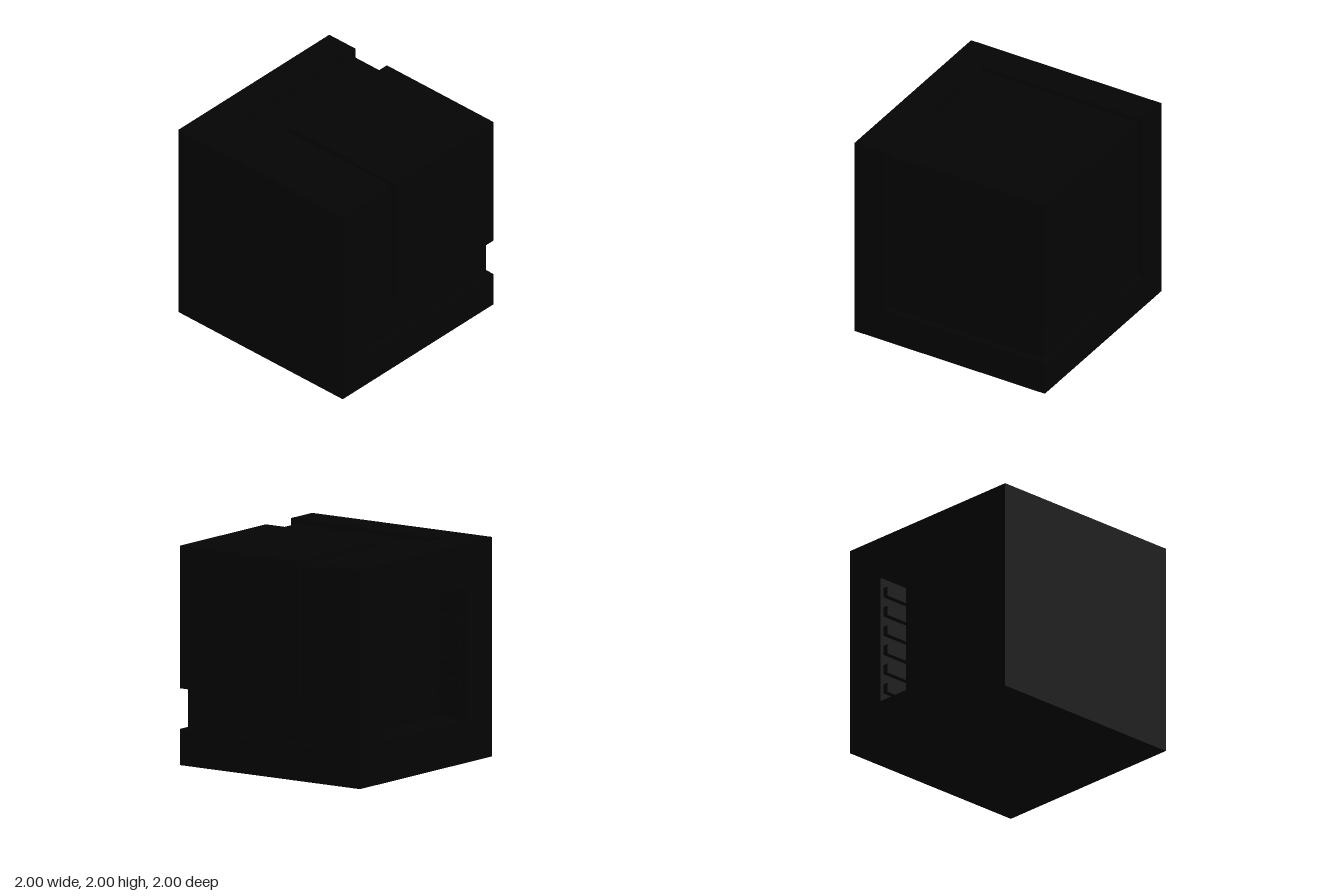
import * as THREE from 'three';

export function createModel() {
  const group = new THREE.Group();
  group.name = 'ventedCube';
  const mat = new THREE.MeshStandardMaterial({ color: 0x040404 });

  // Box given by its minimum and maximum corners
  const box = (name, a, b, parent = group) => {
    const geo = new THREE.BoxGeometry(b[0] - a[0], b[1] - a[1], b[2] - a[2]);
    const mesh = new THREE.Mesh(geo, mat);
    mesh.name = name;
    mesh.position.set((a[0] + b[0]) / 2, (a[1] + b[1]) / 2, (a[2] + b[2]) / 2);
    parent.add(mesh);
    return mesh;
  };

  const wall = -0.68;   // inner side of the outer shell
  const floor = 0.33;   // top of the floor slab
  const step = 0.95;    // surface of the sunken band
  const vent = 0.61;    // half width of the rear opening
  const ventY = 0.995;  // centre height of the rear opening

  // Outer shell: side wall and floor
  box('sideWall', [-1, 0, wall], [wall, 2, 1]);
  box('floorSlab', [wall, 0, wall], [1, floor, 1]);

  // Back wall with a square opening
  const shape = new THREE.Shape([[-1, 0], [1, 0], [1, 2], [-1, 2]].map(p => new THREE.Vector2(...p)));
  shape.holes.push(new THREE.Path([[-1, -1], [-1, 1], [1, 1], [1, -1]].map(
    ([x, y]) => new THREE.Vector2(x * vent, ventY + y * vent))));
  const back = new THREE.Mesh(
    new THREE.ExtrudeGeometry(shape, { depth: 1 + wall, bevelEnabled: false }), mat);
  back.name = 'backWall';
  back.position.z = -1;
  group.add(back);

  // Sunken band around the corner block; also closes the rear opening
  box('sunkenBand', [wall, floor, wall], [step, 2 - (1 - step), step]);

  // Corner block, flush with the outer faces
  box('cornerBlock', [-0.3, 0.7, -0.3], [1, 2, 1]);

  // U-shaped ribs lining the rear opening
  const ribs = new THREE.Group();
  ribs.name = 'ventRibs';
  group.add(ribs);
  const t = 0.045, out = 0.05, front = -0.96;
  for (let i = 0; i < 6; i++) {
    const y = ventY + (i - 2.5) * 0.19;
    box('backRib', [-vent, y - t, wall - out], [vent, y + t, wall], ribs);
    box('rightRib', [-vent, y - t, front], [-vent + out, y + t, wall - out], ribs);
    box('leftRib', [vent - out, y - t, front], [vent, y + t, wall - out], ribs);
  }
  return group;
}
